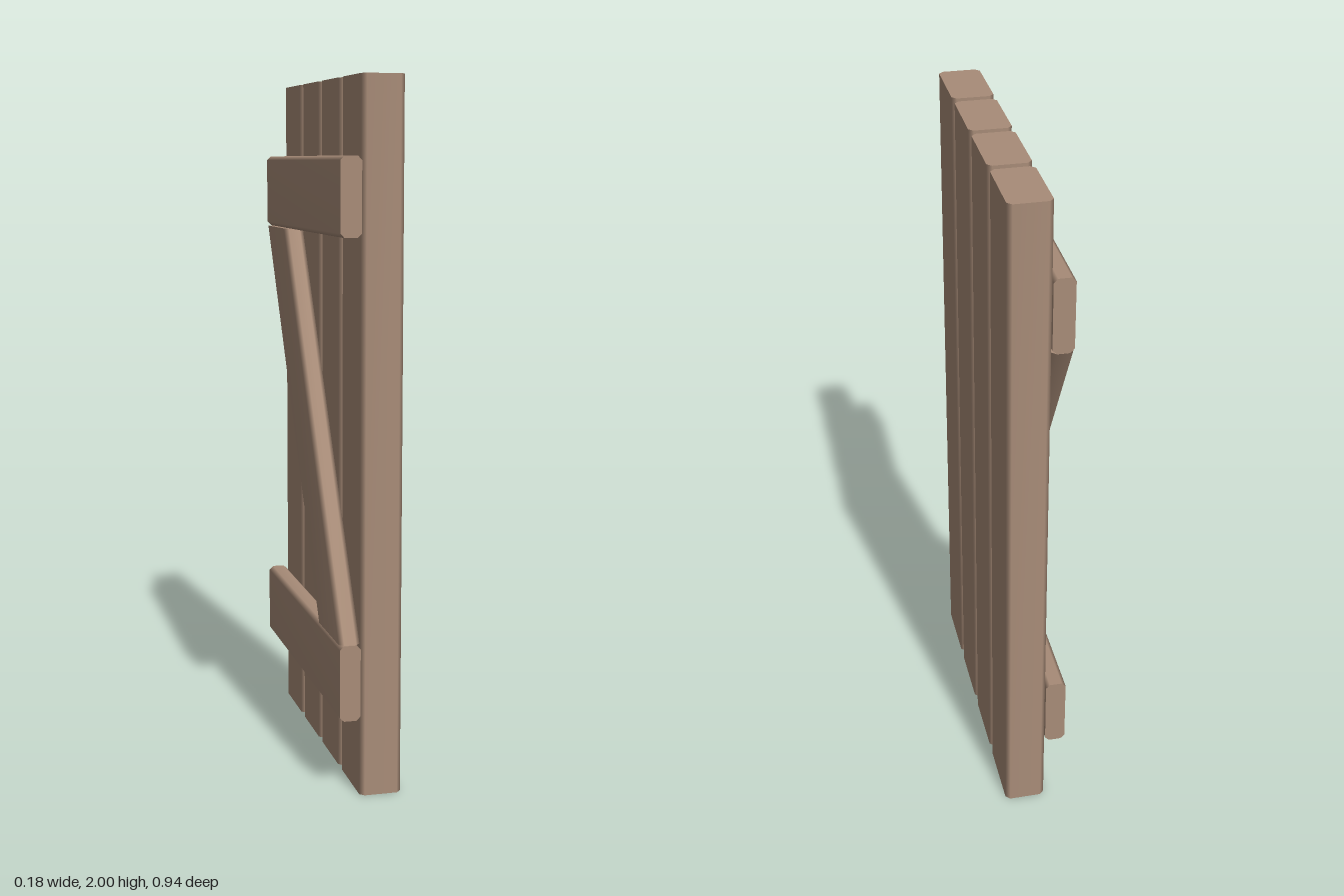
import * as THREE from 'three';

const wood = new THREE.MeshStandardMaterial({ color: 0xa88c78 });
wood.name = 'wood';

// Board with chamfered long edges, swept from one end centre to the other.
// Thickness runs along x; across is the half-width vector, so ends may be cut at an angle.
function board(name, from, to, halfThick, across, chamfer) {
  const t = halfThick, k = 1 - chamfer / across.length(), s = t - chamfer;
  const section = [[s, -1], [t, -k], [t, k], [s, 1], [-s, 1], [-t, k], [-t, -k], [-s, -1]];
  const n = section.length;
  const ring = (end) => section.flatMap(([x, w]) =>
    end.clone().addScaledVector(across, w).add(new THREE.Vector3(x, 0, 0)).toArray());
  const a = ring(from), b = ring(to);
  const index = [];
  // Sides share vertices for soft edges
  for (let i = 0; i < n; i++) {
    const j = (i + 1) % n;
    index.push(i, j, n + j, i, n + j, n + i);
  }
  // End caps have their own vertices for a crisp cut
  for (let i = 1; i < n - 1; i++) {
    index.push(2 * n, 2 * n + i + 1, 2 * n + i);
    index.push(3 * n, 3 * n + i, 3 * n + i + 1);
  }
  const geometry = new THREE.BufferGeometry();
  geometry.setAttribute('position', new THREE.Float32BufferAttribute([...a, ...b, ...a, ...b], 3));
  geometry.setIndex(index);
  geometry.computeVertexNormals();
  const mesh = new THREE.Mesh(geometry, wood);
  mesh.name = name;
  return mesh;
}

export function createModel() {
  const group = new THREE.Group();
  group.name = 'plankDoor';
  const v = (x, y, z) => new THREE.Vector3(x, y, z);

  // Four upright planks with narrow gaps
  for (let i = 0; i < 4; i++) {
    const z = (i - 1.5) * 0.2407;
    group.add(board(`plank${i + 1}`, v(0.03, 0, z), v(0.03, 2, z), 0.06, v(0, 0, -0.109), 0.013));
  }

  // Cross rails on the back of the planks
  for (const [name, y] of [['lowerRail', 0.331], ['upperRail', 1.676]]) {
    group.add(board(name, v(-0.06, y, -0.47), v(-0.06, y, 0.47), 0.03, v(0, 0.109, 0), 0.012));
  }

  // Diagonal brace, cut level to meet both rails
  group.add(board('diagonalBrace', v(-0.06, 0.441, 0.342), v(-0.06, 1.566, -0.342),
    0.03, v(0, 0, -0.127), 0.013));

  return group;
}
